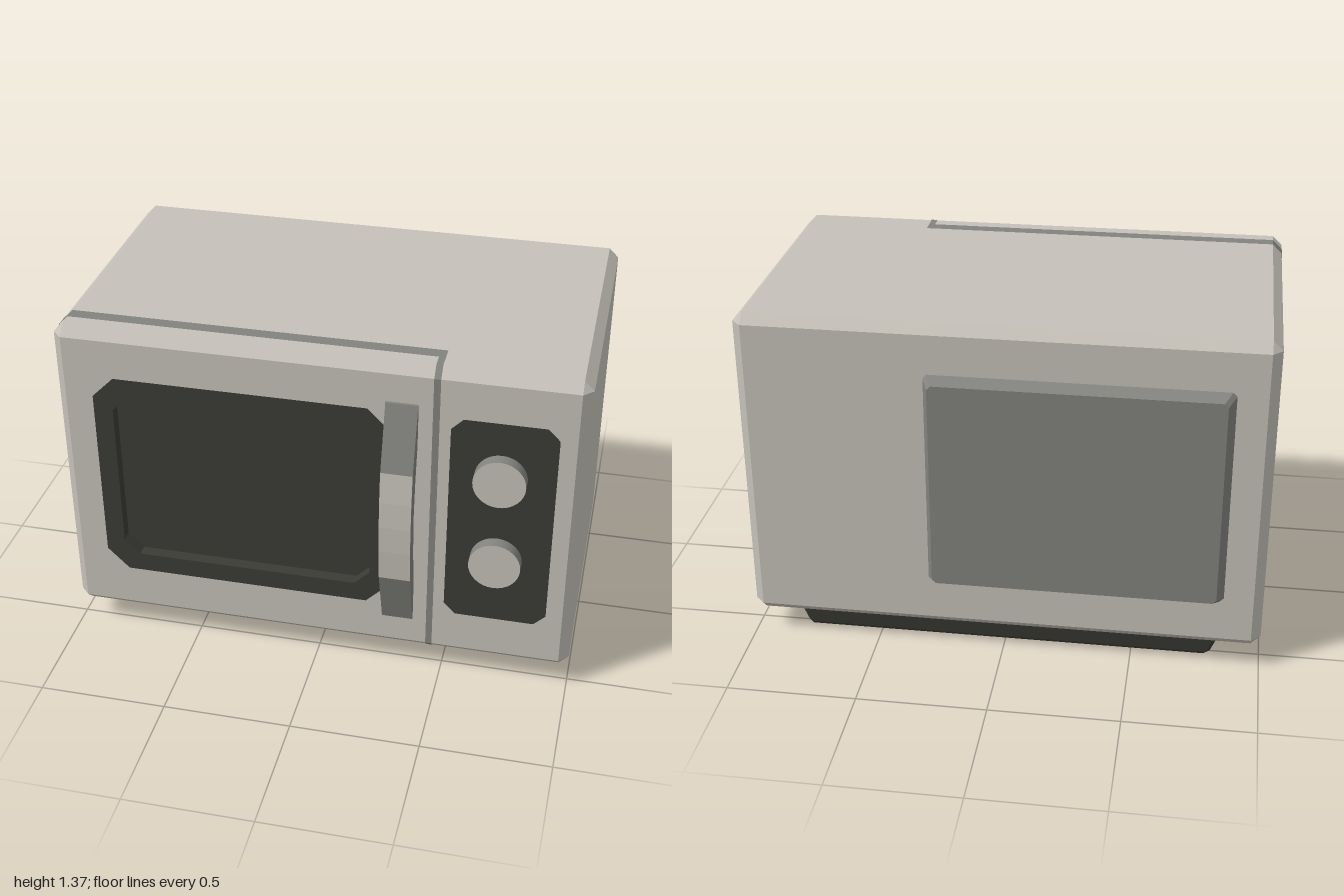
import * as THREE from 'three';

const paint = (name, color, side = THREE.FrontSide) => {
  const m = new THREE.MeshStandardMaterial({ color, side });
  m.name = name;
  return m;
};

// Chamfered rectangle, counterclockwise
const octagon = (x0, x1, y0, y1, c) => [
  [x0 + c, y0], [x1 - c, y0], [x1, y0 + c], [x1, y1 - c],
  [x1 - c, y1], [x0 + c, y1], [x0, y1 - c], [x0, y0 + c],
];

// Flat-faced skin through sections { z, pts }, with optional end caps
function loft(sections, capStart = true, capEnd = true) {
  const pos = [];
  const put = (s, i) => pos.push(s.pts[i % s.pts.length][0], s.pts[i % s.pts.length][1], s.z);
  for (let k = 0; k < sections.length - 1; k++) {
    const a = sections[k], b = sections[k + 1];
    for (let i = 0; i < a.pts.length; i++) {
      put(a, i); put(a, i + 1); put(b, i + 1);
      put(a, i); put(b, i + 1); put(b, i);
    }
  }
  const first = sections[0], last = sections[sections.length - 1];
  for (let i = 1; i < first.pts.length - 1; i++) {
    if (capStart) { put(first, 0); put(first, i + 1); put(first, i); }
    if (capEnd) { put(last, 0); put(last, i); put(last, i + 1); }
  }
  const g = new THREE.BufferGeometry();
  g.setAttribute('position', new THREE.Float32BufferAttribute(pos, 3));
  g.computeVertexNormals();
  return g;
}

// Flat plate from an outline with an optional hole
function plate(outline, z, hole) {
  const v = (pts) => pts.map(([x, y]) => new THREE.Vector2(x, y));
  const s = new THREE.Shape(v(outline));
  if (hole) s.holes.push(new THREE.Path(v(hole)));
  return new THREE.ShapeGeometry(s).translate(0, 0, z);
}

// Ribbon following a 2D path, swept from depth a to b
function ribbon(path, a, b) {
  const pos = [];
  for (let i = 0; i < path.length - 1; i++) {
    const [p, q] = [path[i], path[i + 1]];
    pos.push(...p, a, ...q, a, ...q, b, ...p, a, ...q, b, ...p, b);
  }
  const g = new THREE.BufferGeometry();
  g.setAttribute('position', new THREE.Float32BufferAttribute(pos, 3));
  g.computeVertexNormals();
  return g;
}

export function createModel() {
  const group = new THREE.Group();
  const light = paint('warm light grey', 0xc5c1b9);
  const grey = paint('mid grey', 0x82837e);
  const seamGrey = paint('seam grey', 0x82837e, THREE.DoubleSide);
  const dark = paint('charcoal', 0x3a3b35);
  const add = (name, geometry, material) => {
    const m = new THREE.Mesh(geometry, material);
    m.name = name;
    group.add(m);
    return m;
  };

  // Chamfered housing, open at the front face
  const c = 0.037, y0 = 0.094, y1 = 1.368, zBack = -0.604, zFront = 0.557;
  const full = octagon(-1, 1, y0, y1, c);
  const inset = octagon(-1 + c, 1 - c, y0 + c, y1 - c, 0);
  add('housing', loft([
    { z: zBack, pts: inset }, { z: zBack + c, pts: full },
    { z: zFront - c, pts: full }, { z: zFront, pts: inset },
  ], true, false), light);

  // Front face with the recessed window
  const glass = octagon(-0.78, 0.213, 0.378, 1.1, 0.06);
  const face = [[-1 + c, y0 + c], [1 - c, y0 + c], [1 - c, y1 - c], [-1 + c, y1 - c]];
  add('frontFace', plate(face, zFront, glass), light);
  add('windowFrame', plate(octagon(-0.855, 0.285, 0.3, 1.178, 0.085), zFront + 0.002, glass), dark);
  add('windowRecess', loft([
    { z: zFront + 0.002, pts: glass }, { z: zFront - 0.045, pts: glass },
  ], false, true), dark);

  // Control panel and knobs
  add('controlPanel', plate(octagon(0.507, 0.9, 0.297, 1.178, 0.045), zFront + 0.002), dark);
  for (const y of [0.947, 0.58]) {
    const g = new THREE.CylinderGeometry(0.098, 0.098, 0.06, 32).rotateX(Math.PI / 2);
    add('knob', g, [grey, light, grey]).position.set(0.697, y, 0.577);
  }

  // Door seam around the top, side and bottom, then down the front
  const e = 0.002;
  add('doorSeamAround', ribbon([
    [0.465, y1 + e], [-1 + c, y1 + e], [-1 - e, y1 - c],
    [-1 - e, y0 + c], [-1 + c, y0 - e], [0.465, y0 - e],
  ], 0.413, 0.465), seamGrey);
  // Path is drawn in (-z, y) and turned to face along x
  const turn = (g) => g.rotateY(Math.PI / 2);
  add('doorSeamFront', turn(ribbon([
    [-0.465, y1 + e], [c - zFront, y1 + e], [-zFront - e, y1 - c],
    [-zFront - e, y0 + c], [c - zFront, y0 - e], [-0.465, y0 - e],
  ], 0.44, 0.465)), seamGrey);

  // Bowed handle with a light grip face
  const bow = [
    [0.55, 1.217], [0.567, 1.217], [0.643, 0.965], [0.654, 0.84], [0.657, 0.73],
    [0.654, 0.62], [0.643, 0.49], [0.567, 0.246], [0.55, 0.246],
    [0.55, 0.38], [0.585, 0.57], [0.6, 0.73], [0.585, 0.89], [0.55, 1.08],
  ];
  const shape = new THREE.Shape(bow.map(([z, y]) => new THREE.Vector2(-z, y)));
  add('handle', turn(new THREE.ExtrudeGeometry(shape, { depth: 0.12, bevelEnabled: false }))
    .translate(0.267, 0, 0), grey);
  const grip = paint('grip light grey', 0xc5c1b9, THREE.DoubleSide);
  add('handleGrip', turn(ribbon(bow.slice(2, 7).map(([z, y]) => [-z - e, y]), 0.267, 0.387)), grip);

  // Raised panel on the back
  add('backPanel', loft([
    { z: -0.658, pts: octagon(-0.822, 0.265, 0.32, 1.155, 0.015) },
    { z: -0.6, pts: octagon(-0.852, 0.29, 0.297, 1.178, 0.015) },
  ]), grey);

  // Tapered plinth underneath
  add('plinth', loft([
    { z: 0, pts: octagon(-0.8, 0.8, -0.38, 0.523, 0.015) },
    { z: 0.012, pts: octagon(-0.81, 0.805, -0.385, 0.53, 0.015) },
    { z: 0.1, pts: octagon(-0.842, 0.832, -0.4, 0.547, 0.015) },
  ]).rotateX(-Math.PI / 2), dark);

  return group;
}
